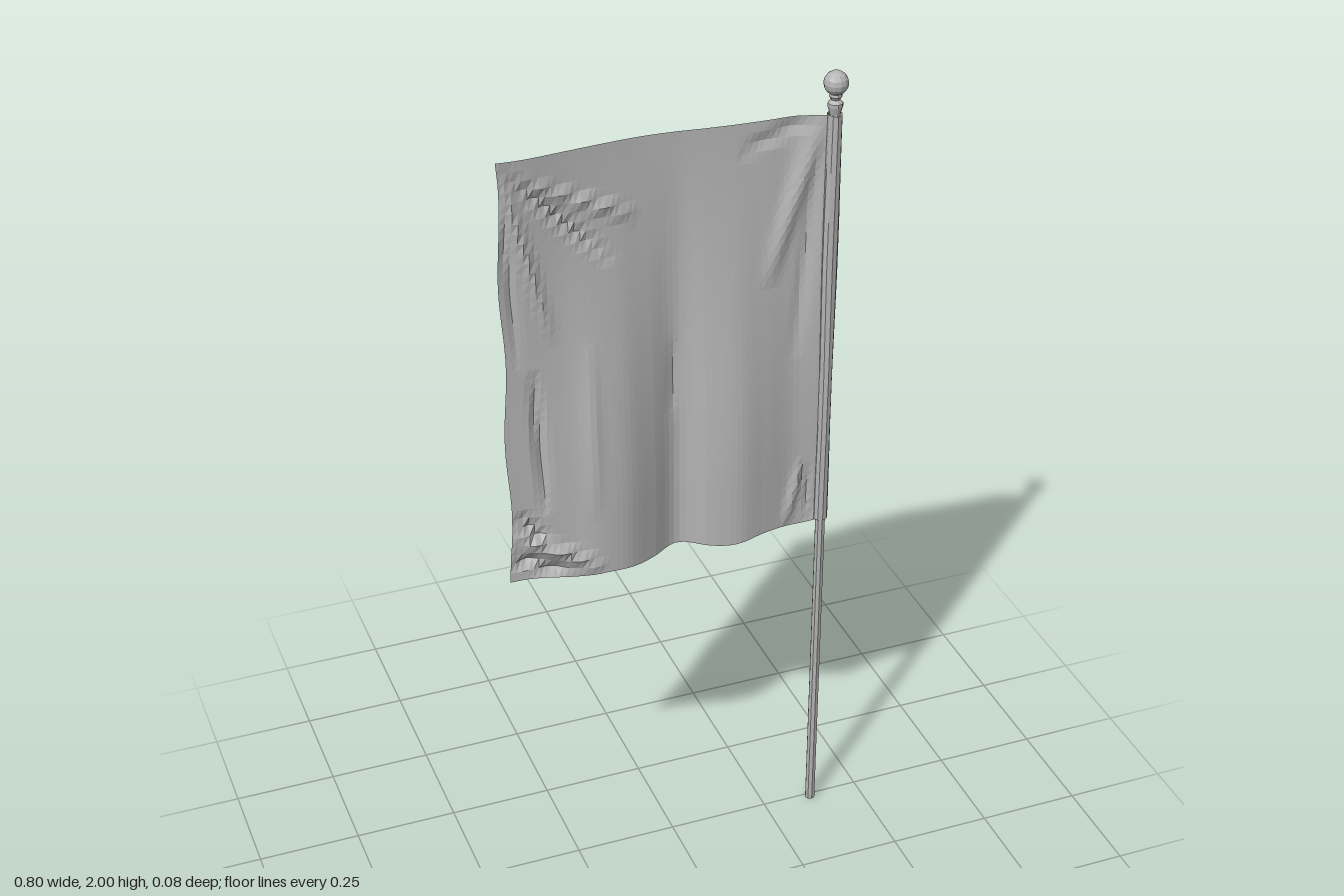
import * as THREE from 'three';

const POLE_X = 0.372, POLE_Z = 0.01;
const LEFT = -0.395, TOP = 1.897, BOTTOM = 0.853;

// Depth of the cloth along its top and bottom edges, evenly spaced from free edge to pole
const depthCurve = (zs) => new THREE.SplineCurve(zs.map((z, i) => new THREE.Vector2(i, z)));
const topDepth = depthCurve([0, -0.008, -0.02, -0.03, -0.038, -0.042, -0.04, -0.036, -0.033, -0.03, -0.024, 0.006]);
const bottomDepth = depthCurve([0.005, 0.012, 0.022, 0.038, 0.036, 0.008, -0.022, 0.015, 0.032, 0.02, 0.006, 0.01]);

// Creases: from x, y to x, y, then width and height
const creases = [
  [-0.39, 1.89, -0.07, 1.71, 0.014, 0.014],
  [-0.39, 1.89, -0.13, 1.62, 0.014, -0.012],
  [-0.39, 1.89, -0.14, 1.76, 0.012, -0.010],
  [-0.39, 1.89, -0.28, 1.46, 0.014, 0.010],
  [-0.39, 1.87, -0.36, 1.40, 0.012, -0.008],
  [0.35, 1.89, 0.23, 1.50, 0.020, 0.014],
  [0.35, 1.89, 0.30, 1.30, 0.016, -0.010],
  [0.35, 1.89, 0.16, 1.82, 0.014, -0.008],
  [-0.39, 0.98, -0.18, 0.86, 0.016, 0.016],
  [-0.40, 0.92, -0.26, 0.86, 0.012, -0.022],
  [-0.38, 1.04, -0.30, 0.93, 0.012, -0.012],
  [-0.33, 1.40, -0.31, 1.02, 0.012, -0.014],
  [-0.20, 1.45, -0.20, 1.00, 0.018, 0.006],
  [0.32, 1.03, 0.28, 0.85, 0.012, 0.010],
  [0.32, 1.03, 0.35, 0.85, 0.012, -0.008],
  [0.01, 1.40, 0.01, 1.20, 0.012, -0.005],
];

function creaseDepth(x, y) {
  let z = 0;
  for (const [ax, ay, bx, by, width, height] of creases) {
    const dx = bx - ax, dy = by - ay, len = Math.hypot(dx, dy);
    const t = ((x - ax) * dx + (y - ay) * dy) / (len * len);
    if (t <= 0 || t >= 1) continue;
    const d = ((x - ax) * dy - (y - ay) * dx) / len;
    z += height * Math.pow(Math.sin(Math.PI * t), 0.8) * Math.exp(-((d / width) ** 2));
  }
  return z;
}

// Hanging cloth: a grid pushed in depth by the folds and creases
function clothGeometry() {
  const geo = new THREE.PlaneGeometry(1, 1, 56, 44);
  const pos = geo.attributes.position;
  for (let i = 0; i < pos.count; i++) {
    const u = pos.getX(i) + 0.5, down = 0.5 - pos.getY(i);
    const edge = 0.005 * Math.sin(down * 17) * (1 - u) ** 4;
    const x = LEFT + u * (POLE_X - 0.008 - LEFT) + edge;
    const topY = TOP + 0.010 * (1 - u) ** 8 - 0.006 * Math.sin(Math.PI * u ** 3);
    const bottomY = BOTTOM - 0.008 * Math.sin(Math.PI * u) + 0.003 * Math.sin(u * 25);
    const y = topY + (bottomY - topY) * down;
    const fall = THREE.MathUtils.smoothstep(down, -0.1, 0.85);
    const z = THREE.MathUtils.lerp(topDepth.getPoint(u).y, bottomDepth.getPoint(u).y, fall);
    pos.setXYZ(i, x, y, z + creaseDepth(x, y));
  }
  geo.computeVertexNormals();
  return geo;
}

export function createModel() {
  const model = new THREE.Group();
  model.name = 'flagOnPole';
  const grey = new THREE.MeshStandardMaterial({ color: 0xb4b4b4, flatShading: true, side: THREE.DoubleSide });
  grey.name = 'plainGrey';

  const add = (name, geo, x, y, z) => {
    const mesh = new THREE.Mesh(geo, grey);
    mesh.name = name;
    mesh.position.set(x, y, z);
    model.add(mesh);
  };

  // Pole and finial
  add('pole', new THREE.CylinderGeometry(0.012, 0.0125, 1.92, 8), POLE_X, 0.96, POLE_Z);
  const neck = [[0, 1.9], [0.012, 1.9], [0.017, 1.918], [0.017, 1.926], [0.01, 1.934], [0.015, 1.942], [0.012, 1.952], [0, 1.956]];
  add('finialNeck', new THREE.LatheGeometry(neck.map(([r, y]) => new THREE.Vector2(r, y)), 10), POLE_X, 0, POLE_Z);
  add('finialBall', new THREE.SphereGeometry(0.028, 12, 8), POLE_X, 1.972, POLE_Z);

  // Cloth sleeve wrapped loosely round the pole
  const sleeve = new THREE.CylinderGeometry(0.018, 0.016, 1.045, 9, 8, true);
  const p = sleeve.attributes.position;
  for (let i = 0; i < p.count; i++) {
    const wave = 1 + 0.08 * Math.sin(p.getY(i) * 9);
    p.setX(i, p.getX(i) * wave);
    p.setZ(i, p.getZ(i) * (2 - wave));
  }
  sleeve.computeVertexNormals();
  add('sleeve', sleeve, POLE_X, 1.378, POLE_Z);

  add('cloth', clothGeometry(), 0, 0, 0);
  return model;
}
